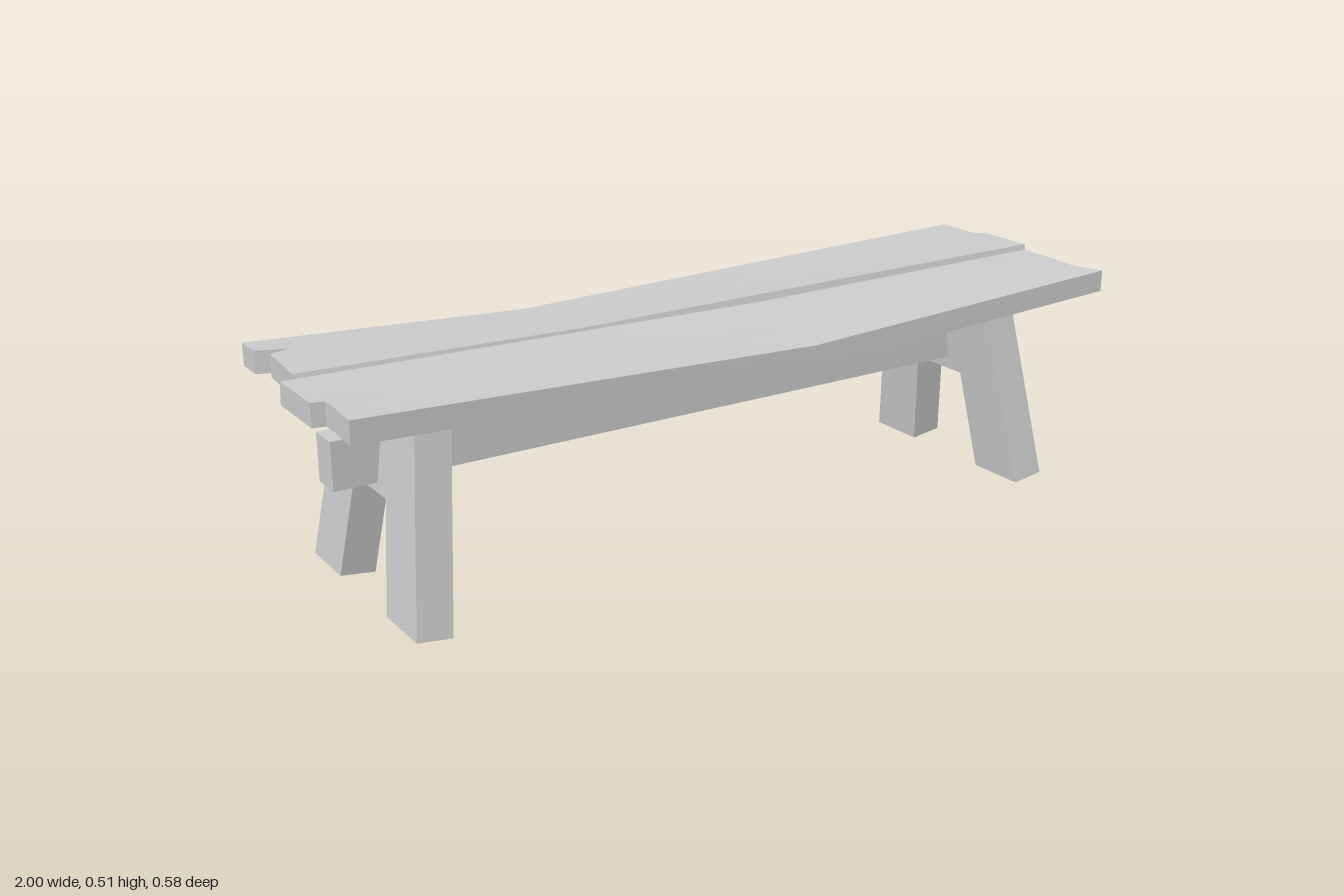
import * as THREE from 'three';
import { toCreasedNormals } from 'three/addons/utils/BufferGeometryUtils.js';

const material = new THREE.MeshStandardMaterial({ color: 0xcccccc });
const TOP = 0.512, THICK = 0.051;

// A worn plank: each row holds three stations (left end, sag point, right end)
// as [x, z, zUnderneath]; rows run in order of rising z.
function plank(name, rows, innerSag, outerSag) {
  const pos = [], index = [], nRows = rows.length, layer = nRows * 3;
  for (const under of [0, 1]) {
    for (const row of rows) {
      row.forEach(([x, z, zu = z], j) => {
        const sag = j === 1 ? innerSag + (outerSag - innerSag) * Math.abs(z) / 0.27 : 0;
        pos.push(x, TOP - sag - under * THICK, under ? zu : z);
      });
    }
  }
  const quad = (a, b, c, d) => index.push(a, b, c, a, c, d);
  // upper and lower faces
  for (let i = 0; i < nRows - 1; i++) {
    for (let j = 0; j < 2; j++) {
      const a = i * 3 + j, b = a + 3, c = b + 1, d = a + 1;
      quad(a, b, c, d);
      quad(a + layer, d + layer, c + layer, b + layer);
    }
  }
  // edge walls, walking the outline
  const rim = [];
  for (let i = 0; i < nRows; i++) rim.push(i * 3);
  rim.push(layer - 2);
  for (let i = nRows - 1; i >= 0; i--) rim.push(i * 3 + 2);
  rim.push(1);
  rim.forEach((a, k) => {
    const b = rim[(k + 1) % rim.length];
    quad(a, a + layer, b + layer, b);
  });
  const geo = new THREE.BufferGeometry();
  geo.setAttribute('position', new THREE.Float32BufferAttribute(pos, 3));
  geo.setIndex(index);
  const mesh = new THREE.Mesh(toCreasedNormals(geo, 0.5), material);
  mesh.name = name;
  return mesh;
}

// Splayed trestle leg: a tapered slab with a cut-out, leaning inward
function trestle(name, footX, turn) {
  const half = [[0.08, 0.242], [0.12, 0], [0.265, 0], [0.178, 0.472]];
  const outline = [...half, ...half.map(([x, y]) => [-x, y]).reverse()];
  const shape = new THREE.Shape(outline.map(([x, y]) => new THREE.Vector2(x, y)));
  const geo = new THREE.ExtrudeGeometry(shape, { depth: 0.081, bevelEnabled: false });
  geo.rotateY(Math.PI / 2);
  geo.rotateZ(0.13);
  geo.translate(footX, 0, 0);
  geo.rotateY(turn);
  const mesh = new THREE.Mesh(geo, material);
  mesh.name = name;
  return mesh;
}

export function createModel() {
  const bench = new THREE.Group();
  bench.name = 'bench';

  // seat planks with chipped ends
  bench.add(plank('backPlank', [
    [[-0.972, -0.29], [-0.3, -0.295], [0.973, -0.29]],
    [[-0.972, -0.222], [-0.3, -0.225], [0.973, -0.23]],
    [[-0.905, -0.197], [-0.3, -0.19], [0.973, -0.168]],
    [[-0.952, -0.182], [-0.3, -0.17], [0.998, -0.16]],
    [[-0.962, -0.03, -0.013], [-0.3, -0.023, -0.007], [0.998, -0.009, 0.005]],
  ], 0.01, 0.032));
  bench.add(plank('frontPlank', [
    [[-1, 0.001, -0.004], [0.13, 0.018, 0.005], [0.96, 0.033, 0.01]],
    [[-1, 0.157], [0.13, 0.13], [0.955, 0.12]],
    [[-0.972, 0.163], [0.13, 0.17], [0.947, 0.205]],
    [[-0.972, 0.21], [0.13, 0.2], [0.953, 0.235]],
    [[-0.977, 0.29], [0.13, 0.255], [0.97, 0.29]],
  ], 0.01, 0.057));

  // trestle legs
  bench.add(trestle('leftLeg', 0.75, 0));
  bench.add(trestle('rightLeg', 0.778, Math.PI));

  // stretcher beam through both legs
  const beam = new THREE.Mesh(new THREE.BoxGeometry(1.81, 0.108, 0.072), material);
  beam.position.set(-0.015, 0.325, 0);
  beam.name = 'stretcher';
  bench.add(beam);

  return bench;
}
